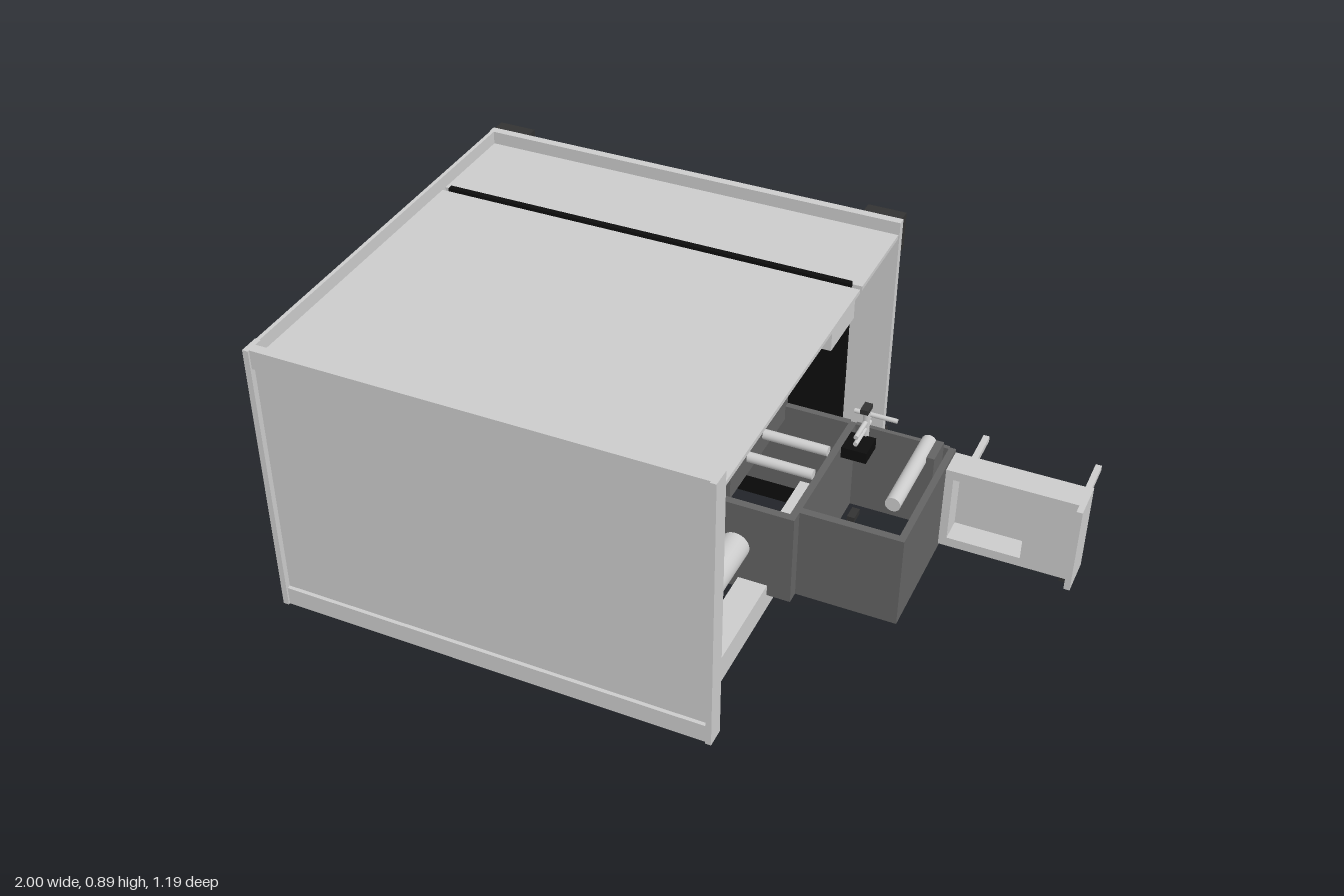
import * as THREE from 'three';

const mat = (color) => new THREE.MeshStandardMaterial({ color });
const M = {
  grey: mat(0xcccccc), dark: mat(0x636363), panel: mat(0x323232), black: mat(0x0d0d0d),
  red: mat(0xc03a20), yellow: mat(0xe0a818), green: mat(0x2f8a3a), blue: mat(0x2040c0),
};

export function createModel() {
  const root = new THREE.Group();
  root.name = 'machine';

  const add = (parent, name, geo, m) => {
    const mesh = new THREE.Mesh(geo, m);
    mesh.name = name;
    parent.add(mesh);
    return mesh;
  };
  // Box given by its limits on each axis
  const box = (parent, name, [x0, x1], [y0, y1], [z0, z1], m = M.grey) => {
    const b = add(parent, name, new THREE.BoxGeometry(x1 - x0, y1 - y0, z1 - z0), m);
    b.position.set((x0 + x1) / 2, (y0 + y1) / 2, (z0 + z1) / 2);
    return b;
  };
  // Round bar between two points
  const rod = (parent, name, a, b, r, m = M.grey) => {
    const A = new THREE.Vector3(...a), B = new THREE.Vector3(...b);
    const c = add(parent, name, new THREE.CylinderGeometry(r, r, A.distanceTo(B), 28), m);
    c.position.copy(A).add(B).multiplyScalar(0.5);
    c.quaternion.setFromUnitVectors(new THREE.Vector3(0, 1, 0), B.sub(A).normalize());
    return c;
  };
  const group = (name) => {
    const g = new THREE.Group();
    g.name = name;
    root.add(g);
    return g;
  };

  // Housing: open below and on the +x side
  const housing = group('housing');
  box(housing, 'frontPanel', [-0.74, 0.375], [0.15, 0.9], [0.565, 0.58]);
  for (const [x0, x1] of [[-0.755, -0.74], [0.373, 0.388]])
    box(housing, 'frontFlange', [x0, x1], [0.15, 0.9], [0.545, 0.595]);
  for (const [y0, y1] of [[0.15, 0.2], [0.85, 0.9]])
    box(housing, 'frontRail', [-0.74, 0.373], [y0, y1], [0.58, 0.59]);
  box(housing, 'backPanel', [-0.755, 0.388], [0.15, 0.9], [-0.555, -0.533]);
  box(housing, 'sideWall', [-0.753, -0.743], [0.15, 0.9], [-0.533, 0.545]);
  box(housing, 'topPanelRear', [-0.743, 0.385], [0.855, 0.866], [-0.533, -0.275]);
  box(housing, 'topPanelFront', [-0.743, 0.385], [0.855, 0.866], [-0.26, 0.565]);
  box(housing, 'partition', [-0.725, 0.36], [0.17, 0.875], [-0.275, -0.26], M.black);

  // Lengthwise beams
  box(housing, 'upperBeam', [-0.743, -0.668], [0.78, 0.855], [-0.533, 0.565]);
  box(housing, 'lowerBeam', [-0.743, -0.655], [0.195, 0.27], [-0.533, 0.565]);
  box(housing, 'lowerBeam', [0.27, 0.345], [0.195, 0.27], [-0.533, 0.565]);
  box(housing, 'hangingBlock', [0.31, 0.375], [0.785, 0.855], [-0.258, -0.105]);

  // Rear feet and rear plate
  const rear = group('rearParts');
  for (const [x0, x1] of [[-0.75, -0.65], [0.285, 0.385]])
    for (const [y0, y1] of [[0.15, 0.245], [0.8, 0.9]])
      box(rear, 'foot', [x0, x1], [y0, y1], [-0.588, -0.555], M.panel);
  box(rear, 'rearPlate', [-1, 0.132], [0.02, 0.65], [-0.595, -0.588], M.panel);

  // Side hopper: four walls, open above and below
  const hopper = group('sideHopper');
  const hy = [0.24, 0.49];
  box(hopper, 'hopperInnerWall', [0.387, 0.405], hy, [-0.25, 0.168], M.dark);
  box(hopper, 'hopperOuterWall', [0.643, 0.66], hy, [-0.25, 0.135], M.dark);
  box(hopper, 'hopperFrontWall', [0.405, 0.643], hy, [0.115, 0.135], M.dark);
  box(hopper, 'hopperBackWall', [0.405, 0.643], hy, [-0.255, -0.243], M.dark);

  // Mechanism on the hopper
  rod(hopper, 'roller', [0.593, 0.497, 0.025], [0.593, 0.497, -0.243], 0.019);
  rod(hopper, 'post', [0.44, 0.48, -0.215], [0.44, 0.575, -0.215], 0.009);
  rod(hopper, 'crossRod', [0.405, 0.545, -0.225], [0.515, 0.545, -0.225], 0.006);
  for (const y of [0.51, 0.53]) rod(hopper, 'guideRod', [0.44, y, -0.14], [0.44, y, -0.243], 0.006);
  box(hopper, 'bracket', [0.405, 0.47], [0.46, 0.49], [-0.21, -0.14], M.black);
  box(hopper, 'bracket', [0.615, 0.635], [0.46, 0.52], [-0.225, -0.15], M.dark);
  box(hopper, 'cap', [0.43, 0.45], [0.565, 0.578], [-0.225, -0.19], M.panel);

  // Inner feeder behind the hopper, with its outlet tube
  const feeder = group('innerFeeder');
  box(feeder, 'feederFront', [0.05, 0.387], hy, [0.148, 0.168], M.dark);
  box(feeder, 'feederSide', [0.05, 0.07], hy, [-0.255, 0.148], M.dark);
  box(feeder, 'feederBack', [0.07, 0.387], hy, [-0.257, -0.24], M.dark);
  box(feeder, 'upperChamber', [-0.12, 0.22], [0.45, 0.605], [-0.255, 0.11], M.dark);
  box(feeder, 'warningStrip', [0.1, 0.215], [0.605, 0.61], [0.07, 0.1], M.yellow);
  rod(feeder, 'outletTube', [0.26, 0.367, 0.165], [0.26, 0.367, 0.365], 0.037);
  for (const z of [0, -0.1])
    rod(feeder, 'feederRod', [0.22, 0.5, z], [0.387, 0.5, z], 0.013);
  box(feeder, 'motor', [-0.48, -0.3], [0.24, 0.45], [-0.15, 0], M.dark);
  box(feeder, 'sensorBar', [-0.7, -0.66], [0.752, 0.757], [-0.255, 0.25], M.dark);
  box(feeder, 'wallBox', [-0.743, -0.7], [0.4, 0.525], [0.205, 0.255]);
  box(feeder, 'rearBox', [-0.3, -0.2], [0.27, 0.47], [-0.31, -0.275]);

  // Outer arm: framed tray with end plate and rear rods
  const arm = group('outerArm');
  const face = new THREE.Shape([[0.66, 0.25], [0.985, 0.25], [0.985, 0.48], [0.66, 0.48]]
    .map((p) => new THREE.Vector2(...p)));
  face.holes.push(new THREE.Path([[0.68, 0.275], [0.68, 0.455], [0.865, 0.455], [0.865, 0.275]]
    .map((p) => new THREE.Vector2(...p))));
  add(arm, 'armFrame', new THREE.ExtrudeGeometry(face, { depth: 0.065, bevelEnabled: false }), M.grey)
    .position.z = -0.24;
  box(arm, 'armBack', [0.66, 0.985], [0.25, 0.48], [-0.25, -0.24]);
  box(arm, 'endPlate', [0.985, 1], [0.245, 0.483], [-0.25, -0.145]);
  for (const x of [0.667, 0.96])
    box(arm, 'rearRod', [x - 0.008, x + 0.008], [0.325, 0.341], [-0.53, -0.25]);
  for (const x of [0.43, 0.975])
    box(arm, 'lowerStop', [x - 0.01, x + 0.01], [0.235, 0.25], [-0.22, -0.18], M.panel);

  // Controls under the lower beam
  const controls = group('controls');
  [[0.47, M.red], [0.415, M.yellow], [0.357, M.green]].forEach(([z, m]) =>
    box(controls, 'button', [-0.69, -0.64], [0.182, 0.196], [z - 0.024, z + 0.024], m));
  box(controls, 'lowerStrip', [-0.72, -0.6], [0.187, 0.195], [-0.26, 0.33], M.black);

  // Hanging plate with roller, spool and knob
  const drop = group('hangingUnit');
  box(drop, 'hangingPlate', [-0.85, -0.55], [0.005, 0.195], [0.17, 0.197], M.panel);
  box(drop, 'smallPlate', [-0.7, -0.58], [0.008, 0.188], [0.136, 0.15], M.dark);
  rod(drop, 'spindle', [-0.64, 0.024, 0.17], [-0.64, 0.024, 0.15], 0.012);
  rod(drop, 'spoolDisc', [-0.65, 0.097, 0.023], [-0.65, 0.097, 0.035], 0.037, M.red);
  rod(drop, 'spoolHub', [-0.65, 0.097, -0.003], [-0.65, 0.097, 0.023], 0.027, M.panel);
  rod(drop, 'spoolDisc', [-0.65, 0.097, -0.009], [-0.65, 0.097, -0.003], 0.037, M.dark);
  rod(drop, 'knob', [-0.65, 0.122, -0.066], [-0.65, 0.122, -0.054], 0.011, M.blue);

  return root;
}
